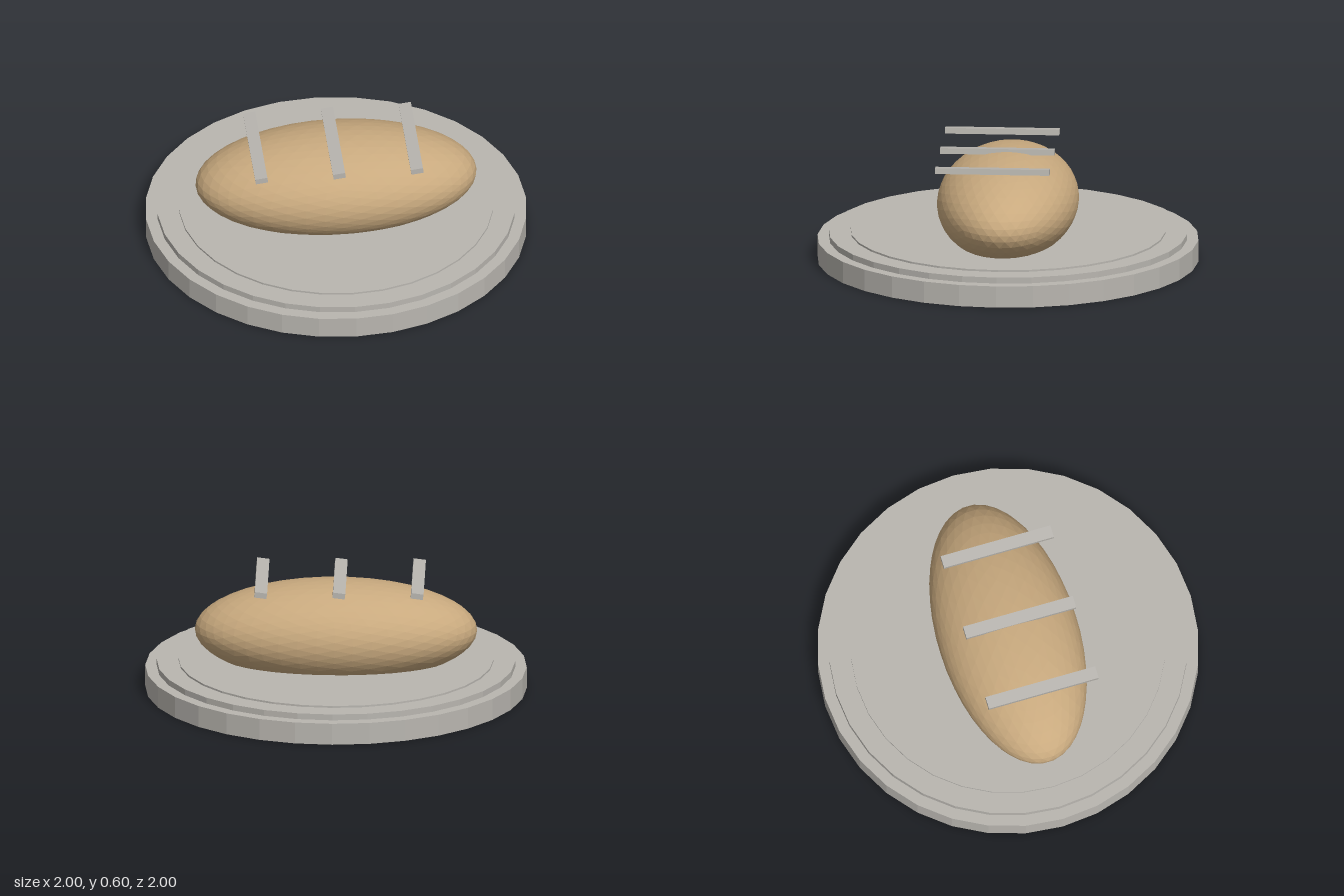
import * as THREE from 'three';

export function createModel() {
  const model = new THREE.Group();
  const material = (name, color) => {
    const m = new THREE.MeshStandardMaterial({ color, flatShading: true });
    m.name = name;
    return m;
  };
  const stone = material('pale grey', 0xb9b6b0);
  const crust = material('crust tan', 0xc8a97e);

  const add = (name, geometry, mat, x, y, z) => {
    const mesh = new THREE.Mesh(geometry, mat);
    mesh.name = name;
    mesh.position.set(x, y, z);
    model.add(mesh);
    return mesh;
  };

  // Stepped round plate: radius, bottom and top of each tier
  const tiers = [
    ['plateBase', 1, 0, 0.115],
    ['plateRim', 0.94, 0.115, 0.147],
    ['plateTop', 0.826, 0.147, 0.157],
  ];
  for (const [name, r, y0, y1] of tiers) {
    add(name, new THREE.CylinderGeometry(r, r, y1 - y0, 32), stone, 0, (y0 + y1) / 2, 0);
  }

  // Faceted oval loaf, its underside sunk into the plate
  const loaf = new THREE.IcosahedronGeometry(1, 7).scale(0.74, 0.265, 0.37);
  add('loaf', loaf, crust, 0, 0.316, 0);

  // Three slightly tilted bars across the loaf
  for (const x of [-0.43, -0.02, 0.39]) {
    const bar = add('crossBar', new THREE.BoxGeometry(0.065, 0.03, 0.6), stone, x, 0.576, 0.057);
    bar.rotation.z = 0.13;
  }

  return model;
}
